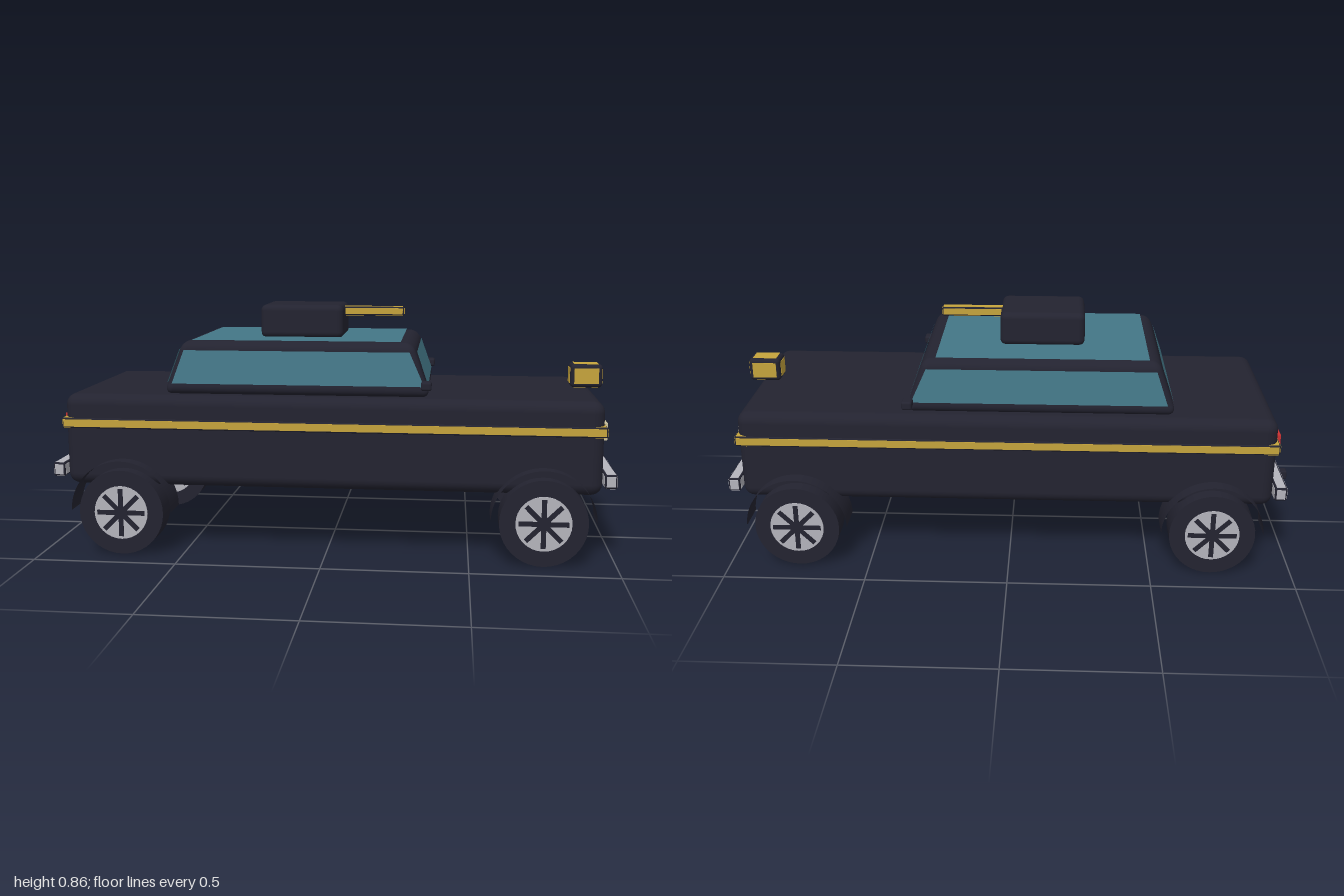
import * as THREE from 'three';
import { RoundedBoxGeometry } from 'three/addons/geometries/RoundedBoxGeometry.js';

const mat = (name, color, side = THREE.FrontSide) => {
  const m = new THREE.MeshStandardMaterial({ color, side });
  m.name = name;
  return m;
};

export function createModel() {
  const dark = mat('dark paint', 0x232330);
  const fenderDark = dark.clone();
  fenderDark.side = THREE.DoubleSide;
  const gold = mat('gold', 0xc6a43c);
  const glass = mat('teal glass', 0x437686, THREE.DoubleSide);
  const silver = mat('silver', 0xb4b4bc);
  const cream = mat('cream lamp', 0xccc3a0);
  const red = mat('red lamp', 0xcc3030);
  const car = new THREE.Group();
  car.name = 'car';

  const add = (name, geo, material, x = 0, y = 0, z = 0, parent = car) => {
    const m = new THREE.Mesh(geo, material);
    m.name = name;
    m.position.set(x, y, z);
    parent.add(m);
    return m;
  };
  const box = (name, material, s, p, r = 0, parent = car) =>
    add(name, r ? new RoundedBoxGeometry(...s, 3, r) : new THREE.BoxGeometry(...s), material, ...p, parent);

  // Box with dark bevelled edges and a coloured panel on each face
  const trimmed = (name, material, [sx, sy, sz], p, e) => {
    const g = new THREE.Group();
    g.name = name;
    g.position.set(...p);
    car.add(g);
    const o = 0.003, i = 2 * e;
    box(name + 'Edges', dark, [sx, sy, sz], [0, 0, 0], e, g);
    box(name + 'PanelX', material, [sx + o, sy - i, sz - i], [0, 0, 0], 0, g);
    box(name + 'PanelY', material, [sx - i, sy + o, sz - i], [0, 0, 0], 0, g);
    box(name + 'PanelZ', material, [sx - i, sy - i, sz + o], [0, 0, 0], 0, g);
  };

  // Body, belt stripe and grille
  box('body', dark, [1.875, 0.325, 0.7], [0.012, 0.3975, 0], 0.04);
  trimmed('stripe', gold, [1.89, 0.036, 0.708], [0.012, 0.458, 0], 0.005);
  box('grille', dark, [0.02, 0.135, 0.29], [0.957, 0.3875, 0]);

  // Tapered cabin
  const y0 = 0.56, h = 0.185, cx = -0.108;
  const halfX = (y) => 0.47 - 0.065 * (y - y0) / h;
  const halfZ = (y) => 0.315 - 0.033 * (y - y0) / h;
  const cabin = new RoundedBoxGeometry(0.94, h, 0.63, 4, 0.03);
  const pos = cabin.attributes.position, nor = cabin.attributes.normal;
  const n = new THREE.Vector3();
  for (let i = 0; i < pos.count; i++) {
    const y = pos.getY(i) + y0 + h / 2;
    pos.setX(i, pos.getX(i) * halfX(y) / 0.47);
    pos.setZ(i, pos.getZ(i) * halfZ(y) / 0.315);
    n.fromBufferAttribute(nor, i);
    n.y += 0.35 * Math.abs(n.x) + 0.18 * Math.abs(n.z);
    n.normalize();
    nor.setXYZ(i, n.x, n.y, n.z);
  }
  add('cabin', cabin, dark, cx, y0 + h / 2, 0);

  // Windows: corners in counter-clockwise order seen from outside
  const pane = (name, corners) => {
    const g = new THREE.BufferGeometry();
    g.setAttribute('position', new THREE.Float32BufferAttribute(corners.flat(), 3));
    g.setIndex([0, 1, 2, 0, 2, 3]);
    g.computeVertexNormals();
    add(name, g, glass);
  };
  const lo = 0.598, hi = 0.714, gap = 0.004;
  for (const s of [1, -1]) {
    const xs = (y) => cx + s * (halfX(y) + gap), zs = (y) => s * (halfZ(y) + gap);
    pane(s > 0 ? 'windshield' : 'rearWindow', [
      [xs(lo), lo, s * 0.28], [xs(lo), lo, -s * 0.28], [xs(hi), hi, -s * 0.26], [xs(hi), hi, s * 0.26]]);
    const side = [[-0.545, lo, zs(lo)], [0.34, lo, zs(lo)], [0.287, hi, zs(hi)], [-0.505, hi, zs(hi)]];
    pane(s > 0 ? 'leftWindow' : 'rightWindow', s > 0 ? side : side.reverse());
  }
  const top = y0 + h + 0.003;
  pane('roofGlass', [[-0.48, top, 0.266], [0.255, top, 0.266], [0.255, top, -0.266], [-0.48, top, -0.266]]);

  // Roof pod with barrel, and hood lamp
  box('roofPod', dark, [0.3, 0.12, 0.24], [-0.11, 0.803, 0], 0.022);
  trimmed('barrel', gold, [0.23, 0.032, 0.034], [0.14, 0.836, 0], 0.005);
  trimmed('hoodLamp', gold, [0.115, 0.084, 0.088], [0.917, 0.609, 0], 0.014);

  // Bumpers
  trimmed('frontBumper', silver, [0.042, 0.048, 0.708], [0.974, 0.29, 0], 0.006);
  trimmed('rearBumper', silver, [0.042, 0.048, 0.708], [-0.95, 0.29, 0], 0.006);

  // Tyre, rims and spokes, axis along z
  const tyre = new THREE.CylinderGeometry(0.15, 0.15, 0.1, 40).rotateX(Math.PI / 2);
  const rim = new THREE.CylinderGeometry(0.095, 0.095, 0.108, 32).rotateX(Math.PI / 2);
  const hub = new THREE.CylinderGeometry(0.024, 0.024, 0.114, 16).rotateX(Math.PI / 2);
  const spoke = new THREE.BoxGeometry(0.17, 0.017, 0.112);
  // Open half-round fender, visible from both sides
  const fender = new THREE.CylinderGeometry(0.178, 0.178, 0.117, 32, 1, true, Math.PI / 2, Math.PI)
    .rotateX(Math.PI / 2);

  for (const s of [1, -1]) {
    const sideName = s > 0 ? 'left' : 'right';
    box(sideName + 'Headlight', cream, [0.022, 0.06, 0.096], [0.956, 0.446, s * 0.217]);
    box(sideName + 'TailLight', red, [0.018, 0.042, 0.09], [-0.938, 0.459, s * 0.228]);
    box(sideName + 'Exhaust', dark, [0.05, 0.032, 0.032], [-0.98, 0.277, s * 0.155], 0.005);
    box(sideName + 'Mirror', dark, [0.036, 0.03, 0.048], [0.347, 0.608, s * 0.35], 0.008);
    for (const x of [-0.715, 0.75]) {
      const wheel = new THREE.Group();
      wheel.name = sideName + (x > 0 ? 'FrontWheel' : 'RearWheel');
      wheel.position.set(x, 0.15, s * 0.349);
      car.add(wheel);
      add('tyre', tyre, dark, 0, 0, 0, wheel);
      add('rim', rim, silver, 0, 0, 0, wheel);
      add('hub', hub, dark, 0, 0, 0, wheel);
      for (let i = 0; i < 4; i++) add('spoke', spoke, dark, 0, 0, 0, wheel).rotation.z = i * Math.PI / 4;
      add(sideName + 'Fender', fender, fenderDark, x, 0.155, s * 0.343);
    }
  }
  return car;
}
